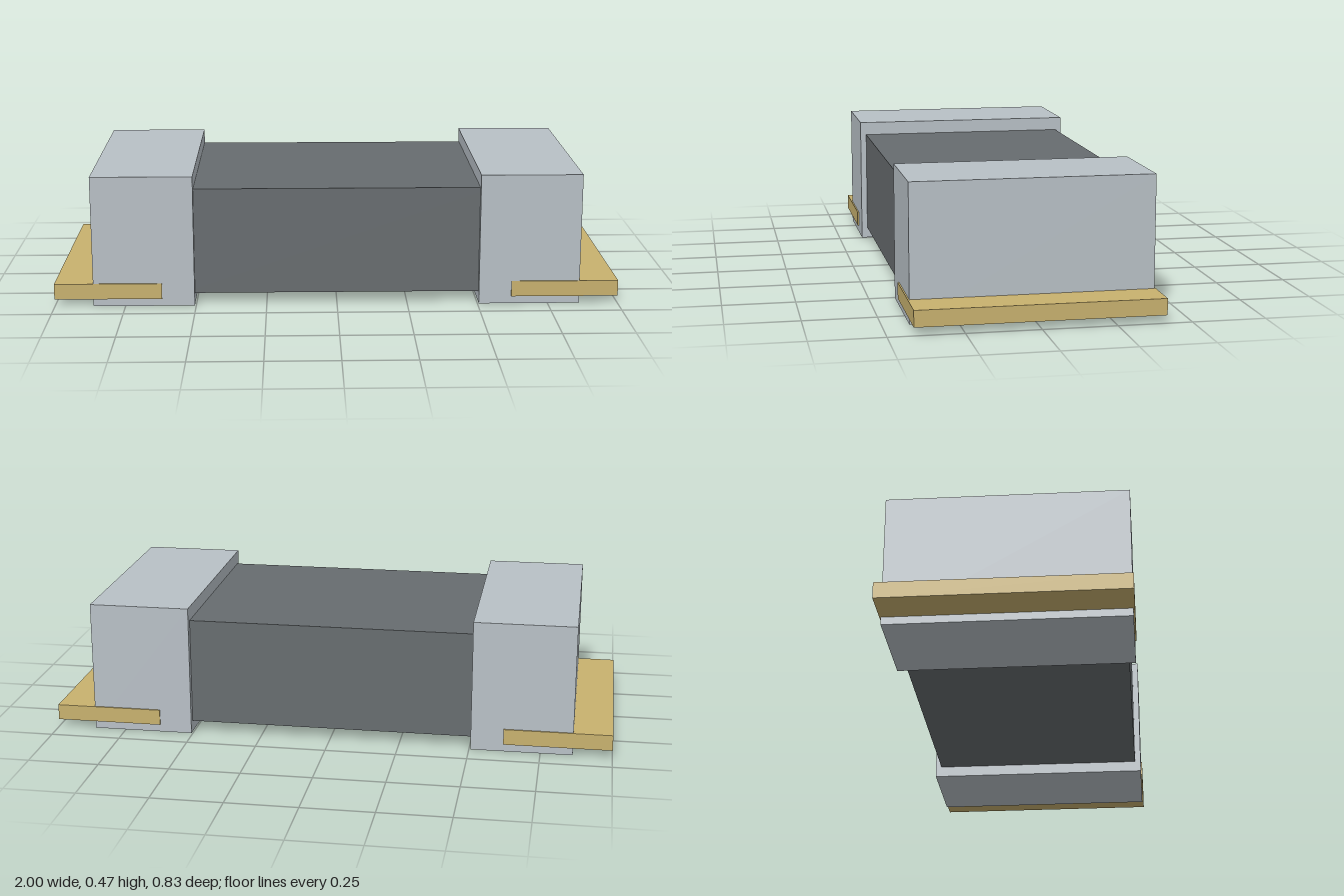
import * as THREE from 'three';

export function createModel() {
  const group = new THREE.Group();
  const make = (name, color) => {
    const m = new THREE.MeshStandardMaterial({ color });
    m.name = name;
    return m;
  };
  const ceramic = make('dark grey ceramic', 0x676c6f);
  const metal = make('silver metal', 0xb8c0c6);
  const gold = make('gold pad', 0xc8b16e);

  // Box given by its lower and upper limits in x and y, centred on z
  const addBox = (name, material, x0, x1, y0, y1, depth) => {
    const mesh = new THREE.Mesh(new THREE.BoxGeometry(x1 - x0, y1 - y0, depth), material);
    mesh.position.set((x0 + x1) / 2, (y0 + y1) / 2, 0);
    mesh.name = name;
    group.add(mesh);
  };

  // Central body, running a little way into the end caps
  addBox('body', ceramic, -0.55, 0.55, 0.04, 0.42, 0.776);

  // End caps with a flat solder pad through each
  for (const [side, s] of [['left', 1], ['right', -1]]) {
    const span = (a, b) => (s > 0 ? [a, b] : [-b, -a]);
    addBox(side + 'EndCap', metal, ...span(0.505, 0.863), 0, 0.469, 0.82);
    addBox(side + 'SolderPad', gold, ...span(0.62, 1), 0.027, 0.083, 0.83);
  }
  return group;
}
